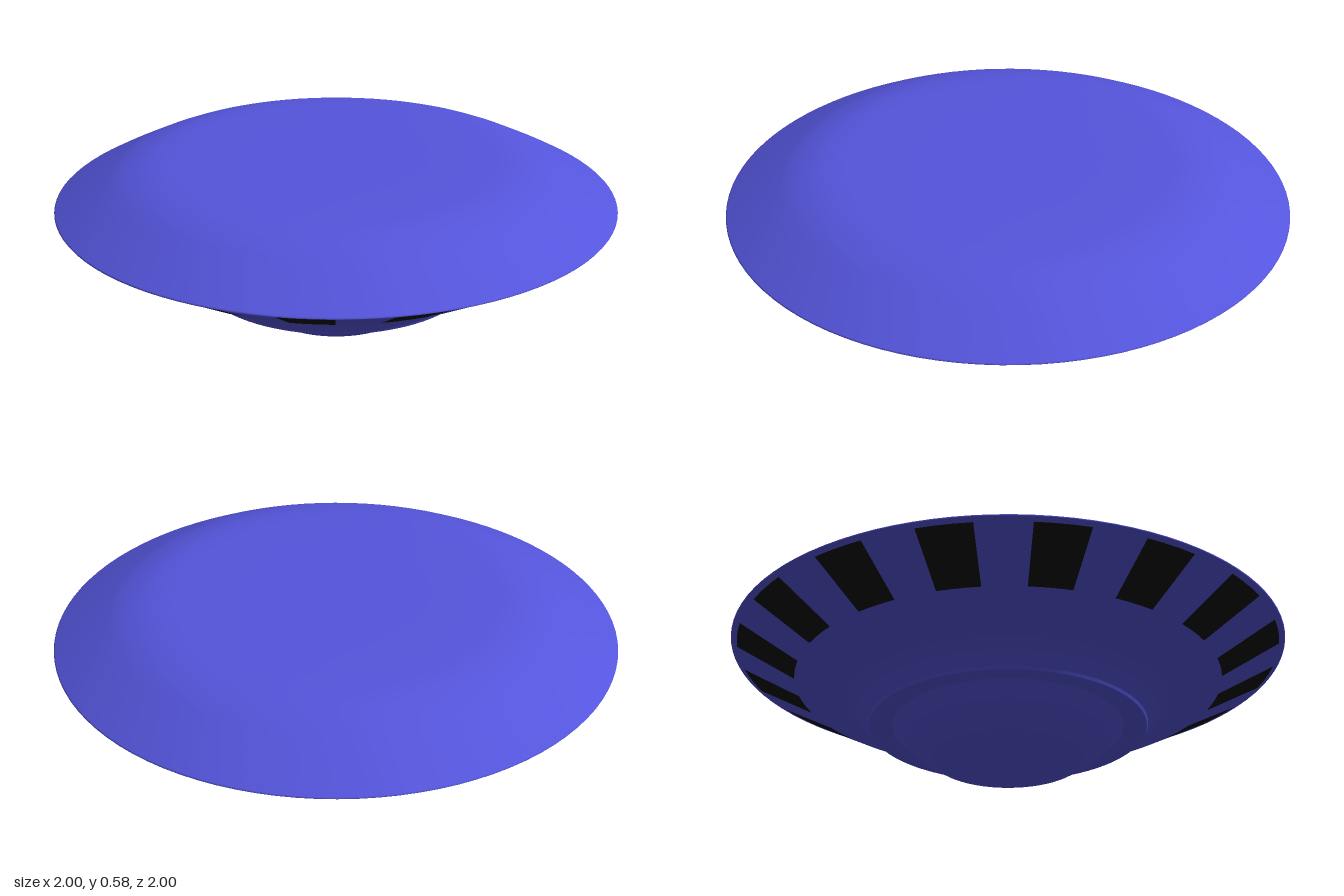
import * as THREE from 'three';

const SECTORS = 32; // alternating window / hull panels around the band

export function createModel() {
  const saucer = new THREE.Group();
  saucer.name = 'saucer';
  const hull = new THREE.MeshStandardMaterial({ color: 0x5555dd });
  const dark = new THREE.MeshStandardMaterial({ color: 0x080808 });

  // Revolves a [radius, height] profile; separate parts keep the edges between them sharp
  function revolve(name, profile, material = hull, start = 0, length = Math.PI * 2, segments = 96) {
    const points = profile.map(([r, y]) => new THREE.Vector2(r, y));
    const mesh = new THREE.Mesh(new THREE.LatheGeometry(points, segments, start, length), material);
    mesh.name = name;
    return mesh;
  }

  saucer.add(
    // Hollow cone under the belly
    revolve('bellyHollow', [[0, 0.125], [0.06, 0.105], [0.27, 0]]),
    // Rounded bowl that stands on the ground
    revolve('bellyBowl', [[0.27, 0], [0.32, 0.032], [0.37, 0.074], [0.415, 0.122]]),
    // Underside and edge of the stepped collar
    revolve('collarUnderside', [[0.415, 0.122], [0.47, 0.124], [0.495, 0.118]]),
    revolve('collarLip', [[0.495, 0.118], [0.5, 0.128]]),
    // Flaring lower hull up to the window band
    revolve('lowerHull', [[0.5, 0.128], [0.525, 0.158], [0.56, 0.192], [0.61, 0.218], [0.68, 0.245], [0.74, 0.27], [0.768, 0.286]]),
    // Outer rim
    revolve('rimUnderside', [[0.978, 0.405], [0.998, 0.414]]),
    revolve('rimEdge', [[0.998, 0.414], [1, 0.417], [0.996, 0.42]]),
    // Upper hull rolling over into the flat top
    revolve('upperHull', [[0.996, 0.42], [0.93, 0.457], [0.86, 0.493], [0.8, 0.523], [0.75, 0.545],
      [0.69, 0.56], [0.64, 0.57], [0.55, 0.576], [0.3, 0.577], [0, 0.577]])
  );

  // Band of dark windows alternating with hull panels
  const band = new THREE.Group();
  band.name = 'windowBand';
  const step = (Math.PI * 2) / SECTORS;
  for (let i = 0; i < SECTORS; i++) {
    const isWindow = i % 2 === 0;
    band.add(revolve(isWindow ? 'window' : 'bandPanel', [[0.768, 0.286], [0.978, 0.405]],
      isWindow ? dark : hull, i * step, step, 3));
  }
  saucer.add(band);
  return saucer;
}
